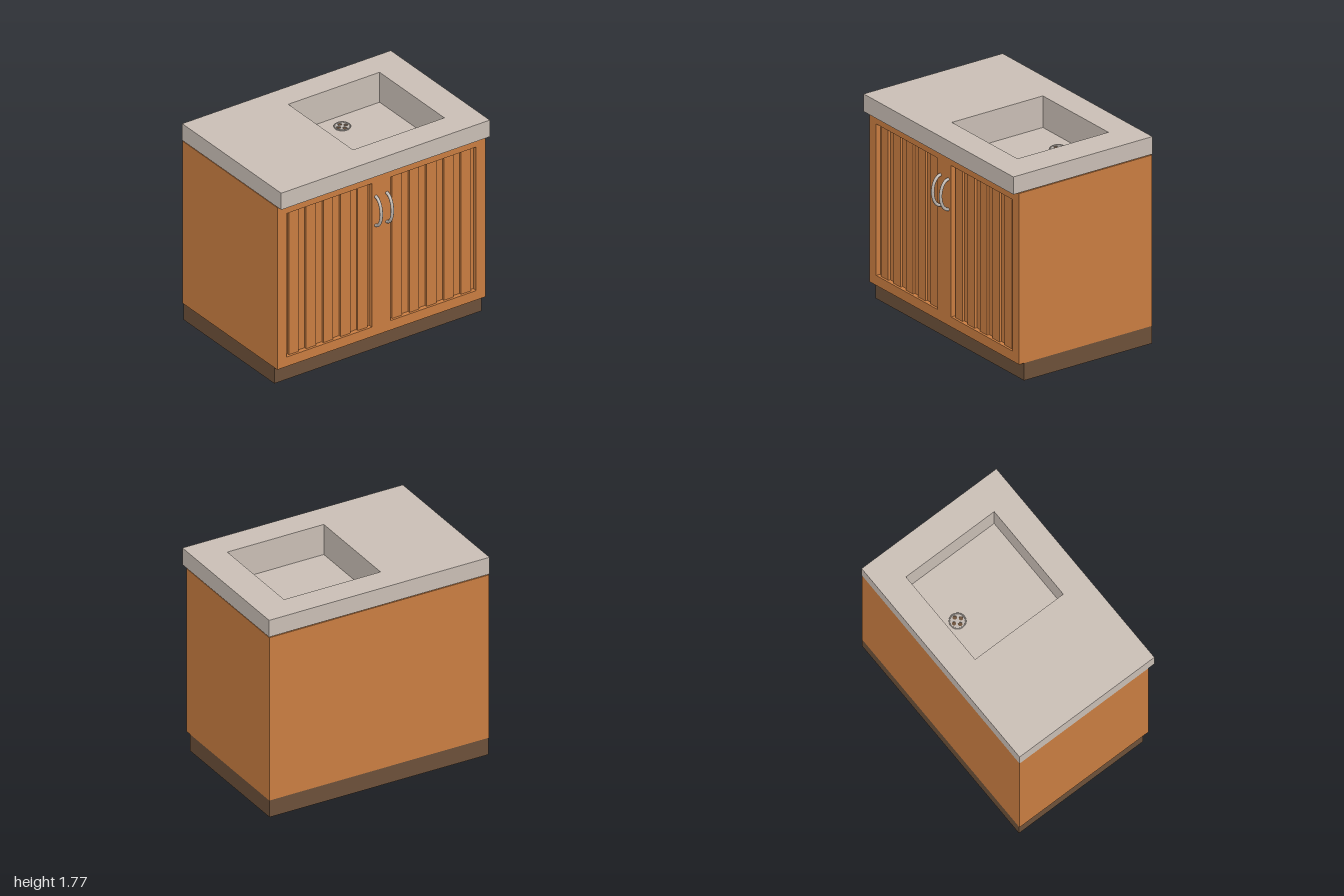
import * as THREE from 'three';

const mat = (name, color) => new THREE.MeshStandardMaterial({ name, color });

// Rectangle outline, for shapes and holes
function rect(target, x0, x1, y0, y1) {
  target.moveTo(x0, y0);
  target.lineTo(x1, y0);
  target.lineTo(x1, y1);
  target.lineTo(x0, y1);
  target.closePath();
  return target;
}

export function createModel() {
  const stone = mat('stone', 0xc9beb5);
  const wood = mat('wood', 0xc97d41);
  const darkWood = mat('dark wood', 0x6c5039);
  const steel = mat('steel', 0xc0b8b1);
  const model = new THREE.Group();
  model.name = 'sinkCabinet';

  function add(name, geometry, material, parent = model) {
    const mesh = new THREE.Mesh(geometry, material);
    mesh.name = name;
    parent.add(mesh);
    return mesh;
  }

  function box(name, x0, x1, y0, y1, z0, z1, material, parent) {
    const geometry = new THREE.BoxGeometry(x1 - x0, y1 - y0, z1 - z0);
    geometry.translate((x0 + x1) / 2, (y0 + y1) / 2, (z0 + z1) / 2);
    return add(name, geometry, material, parent);
  }

  // Horizontal slab with a rectangular opening; rectangles are [x0, x1, z0, z1]
  function slab(name, outer, hole, y0, y1, material) {
    const shape = rect(new THREE.Shape(), outer[0], outer[1], -outer[3], -outer[2]);
    shape.holes.push(rect(new THREE.Path(), hole[0], hole[1], -hole[3], -hole[2]));
    const geometry = new THREE.ExtrudeGeometry(shape, { depth: y1 - y0, bevelEnabled: false });
    geometry.rotateX(-Math.PI / 2).translate(0, y0, 0);
    return add(name, geometry, material);
  }

  // Plinth and carcass
  box('plinth', -0.99, 0.995, 0, 0.15, -0.685, 0.55, darkWood);
  const basin = [-0.145, 0.73, -0.457, 0.422];
  const basinOuter = [-0.155, 0.74, -0.467, 0.432];
  box('carcass', -0.997, 0.997, 0.15, 1.46, -0.685, 0.56, wood);
  slab('carcassTop', [-0.997, 0.997, -0.685, 0.56], basinOuter, 1.46, 1.612, wood);

  // Door frame with two recessed panels
  const frame = rect(new THREE.Shape(), -0.997, 0.997, 0.15, 1.612);
  for (const s of [-1, 1]) {
    frame.holes.push(rect(new THREE.Path(), s * 0.5 - 0.41, s * 0.5 + 0.41, 0.235, 1.53));
  }
  const frameGeometry = new THREE.ExtrudeGeometry(frame, { depth: 0.04, bevelEnabled: false });
  add('doorFrame', frameGeometry.translate(0, 0, 0.56), wood);

  // Countertop and sunken basin
  slab('countertop', [-1, 1, -0.687, 0.657], basin, 1.62, 1.77, stone);
  slab('basinWalls', basinOuter, basin, 1.49, 1.62, stone);
  box('basinFloor', basinOuter[0], basinOuter[1], 1.48, 1.5, basinOuter[2], basinOuter[3], stone);

  // Drain plate with four openings
  const drain = new THREE.Group();
  drain.name = 'drain';
  drain.position.set(0.267, 1.5, -0.308);
  model.add(drain);
  const plate = new THREE.Shape().absarc(0, 0, 0.066, 0, Math.PI * 2);
  for (let i = 0; i < 4; i++) {
    const a = i * Math.PI / 2;
    plate.holes.push(new THREE.Path().absarc(0.035 * Math.cos(a), 0.035 * Math.sin(a), 0.017, 0, Math.PI * 2, true));
  }
  const plateGeometry = new THREE.ExtrudeGeometry(plate, { depth: 0.008, bevelEnabled: false, curveSegments: 16 });
  add('drainPlate', plateGeometry.rotateX(-Math.PI / 2), steel, drain);
  const shadow = new THREE.CylinderGeometry(0.058, 0.058, 0.002, 24);
  add('drainOpening', shadow.translate(0, 0.001, 0), darkWood, drain);
  const rim = new THREE.TorusGeometry(0.064, 0.005, 8, 32);
  add('drainRim', rim.rotateX(Math.PI / 2).translate(0, 0.008, 0), steel, drain);

  // Slats and curved handle on each door
  for (const s of [-1, 1]) {
    const side = s < 0 ? 'right' : 'left';
    for (let i = 0; i < 5; i++) {
      const x = s * 0.495 + (i - 2) * 0.165;
      box(side + 'DoorSlat', x - 0.047, x + 0.047, 0.235, 1.53, 0.555, 0.58, wood);
    }
    const points = [];
    for (let i = 0; i <= 10; i++) {
      const a = -Math.PI / 2 + i * Math.PI / 10;
      points.push(new THREE.Vector3(s * 0.053, 1.272 + 0.13 * Math.sin(a), 0.597 + 0.078 * Math.cos(a)));
    }
    const path = new THREE.CatmullRomCurve3(points);
    add(side + 'Handle', new THREE.TubeGeometry(path, 24, 0.013, 10), steel);
  }
  return model;
}
